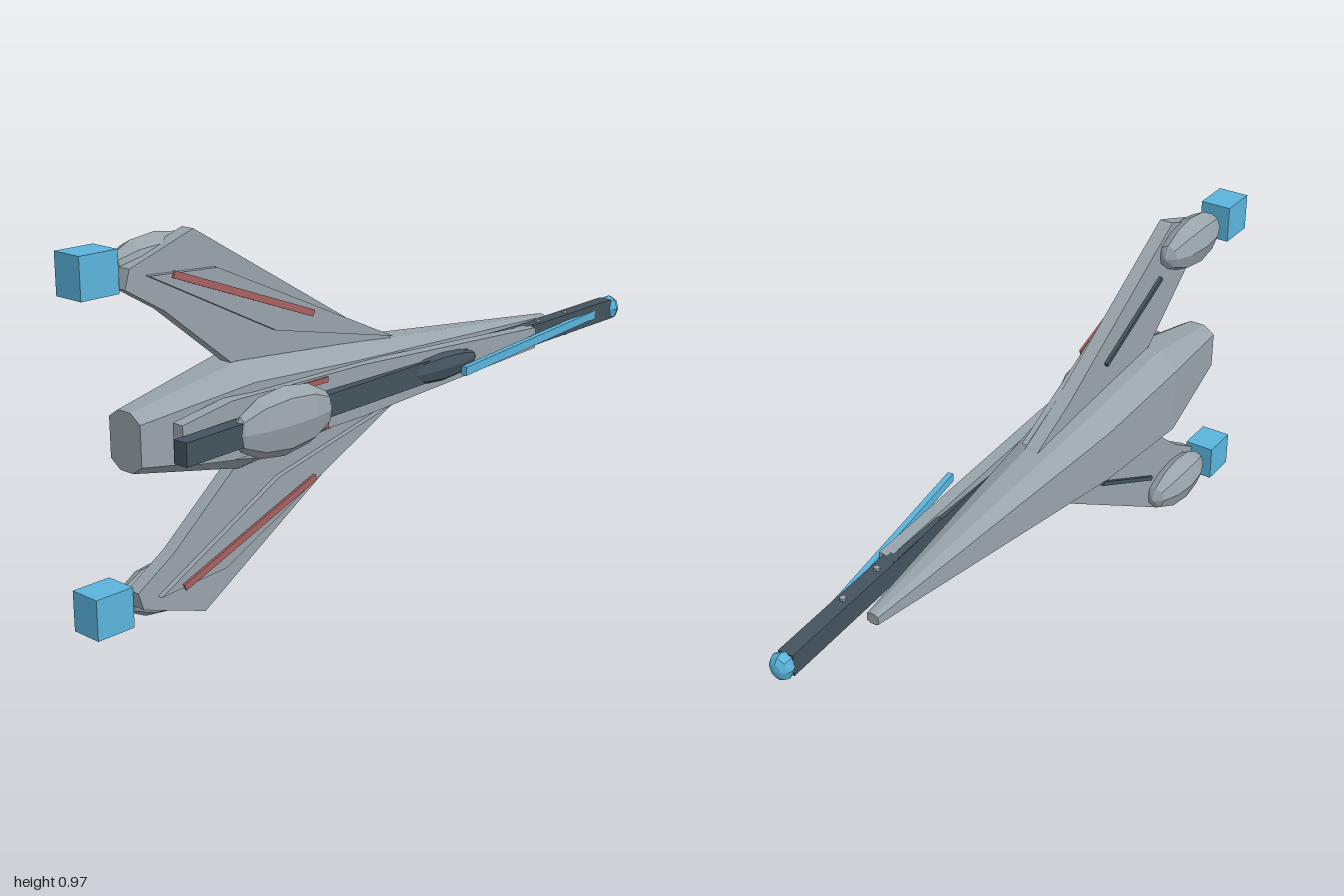
import * as THREE from 'three';

const mat = (name, color) => {
  const m = new THREE.MeshStandardMaterial({ color, flatShading: true });
  m.name = name;
  return m;
};

export function createModel() {
  const grey = mat('hull grey', 0x98a3aa);
  const dark = mat('dark slate', 0x43535d);
  const blue = mat('blue', 0x5ab4dc);
  const red = mat('dull red', 0xa86060);

  const root = new THREE.Group();
  root.name = 'starfighter';

  const add = (parent, name, geometry, material, x = 0, y = 0, z = 0) => {
    const mesh = new THREE.Mesh(geometry, material);
    mesh.name = name;
    mesh.position.set(x, y, z);
    parent.add(mesh);
    return mesh;
  };

  // Bar of given height (y) and depth (z) running between two points
  const bar = (parent, name, material, from, to, h, d) => {
    const a = new THREE.Vector3(...from), b = new THREE.Vector3(...to);
    const mesh = add(parent, name, new THREE.BoxGeometry(a.distanceTo(b), h, d), material);
    mesh.position.copy(a).add(b).multiplyScalar(0.5);
    mesh.quaternion.setFromUnitVectors(new THREE.Vector3(1, 0, 0), b.sub(a).normalize());
    return mesh;
  };

  // Faceted ellipsoid with its poles along x
  const pod = (parent, name, material, center, radii, sides = 8, rows = 6) => {
    const g = new THREE.SphereGeometry(1, sides, rows).rotateZ(-Math.PI / 2).scale(...radii);
    return add(parent, name, g, material, ...center);
  };

  // Flat slab cut from an outline in x and y
  const slab = (parent, name, material, outline, z, depth) => {
    const shape = new THREE.Shape(outline.map(p => new THREE.Vector2(...p)));
    const g = new THREE.ExtrudeGeometry(shape, { depth, bevelEnabled: false });
    return add(parent, name, g, material, 0, 0, z);
  };

  // Eight-sided body lofted along x: [x, half height, half depth]
  const loft = (sections) => {
    const unit = [[1, -0.4], [1, 0.4], [0.7, 1], [-0.7, 1], [-1, 0.4], [-1, -0.4], [-0.7, -1], [0.7, -1]];
    const rings = sections.map(([x, h, d]) => unit.map(([u, v]) => [x, u * h, v * d]));
    const pos = [];
    const last = rings.length - 1;
    for (let j = 0; j < 8; j++) {
      const k = (j + 1) % 8;
      for (let i = 0; i < last; i++) {
        const [a, b, c, d] = [rings[i][j], rings[i][k], rings[i + 1][k], rings[i + 1][j]];
        pos.push(...a, ...b, ...c, ...a, ...c, ...d);
      }
      pos.push(sections[0][0], 0, 0, ...rings[0][k], ...rings[0][j]);
      pos.push(sections[last][0], 0, 0, ...rings[last][j], ...rings[last][k]);
    }
    const g = new THREE.BufferGeometry();
    g.setAttribute('position', new THREE.Float32BufferAttribute(pos, 3));
    g.computeVertexNormals();
    return g;
  };

  // Fuselage and the raised deck on its face
  add(root, 'fuselage', loft([
    [-0.88, 0.075, 0.057], [-0.56, 0.138, 0.106], [-0.2, 0.108, 0.102], [0.72, 0.015, 0.017],
  ]), grey, 0, 0, -0.056);
  const deckHalf = [[-0.81, 0.05], [-0.65, 0.075], [-0.2, 0.07], [0.53, 0.03]];
  const deck = [...deckHalf.map(([x, y]) => [x, -y]), ...deckHalf.reverse()];
  slab(root, 'deck', grey, deck, 0.035, 0.035);

  // Long spine beam, canopy, front sensor and probe
  bar(root, 'spineBeam', dark, [-0.85, 0, 0.106], [0.96, 0, 0.01], 0.06, 0.042);
  pod(root, 'canopy', grey, [-0.515, 0, 0.103], [0.168, 0.09, 0.043]);
  pod(root, 'sensorBlister', dark, [0.115, 0, 0.066], [0.15, 0.042, 0.028]);
  pod(root, 'noseLens', blue, [0.973, 0, 0.012], [0.027, 0.038, 0.033]);
  bar(root, 'probe', blue, [0.12, 0, 0.145], [0.97, 0, 0.012], 0.024, 0.016);

  // Cross pins through the beam
  for (const [x, z] of [[0.59, 0.03], [0.73, 0.024]]) {
    add(root, 'crossPin', new THREE.CylinderGeometry(0.009, 0.009, 0.075, 6), grey, x, 0, z);
  }

  // Everything paired across the centre plane
  for (const side of [1, -1]) {
    const half = new THREE.Group();
    half.name = side > 0 ? 'upperSide' : 'lowerSide';
    half.scale.y = side;
    root.add(half);

    slab(half, 'wing', grey, [
      [-0.57, 0.05], [0.1, 0.02], [0, 0.092], [-0.15, 0.165], [-0.68, 0.486],
      [-0.875, 0.42], [-0.89, 0.373], [-0.775, 0.303], [-0.57, 0.135],
    ], -0.06, 0.04);
    slab(half, 'wingPanel', grey, [
      [-0.83, 0.398], [-0.43, 0.193], [0, 0.095], [-0.62, 0.385],
    ], -0.021, 0.016);
    bar(half, 'wingStripe', red, [-0.76, 0.392, -0.002], [-0.315, 0.219, 0.009], 0.018, 0.007);
    bar(half, 'wingBackStrip', dark, [-0.62, 0.34, -0.064], [-0.33, 0.197, -0.064], 0.012, 0.012);
    bar(half, 'deckStripe', red, [-0.42, 0.06, 0.071], [-0.33, 0.06, 0.071], 0.014, 0.008);
    bar(half, 'noseStrip', dark, [0.33, 0.028, 0.036], [0.68, 0.022, 0.024], 0.012, 0.03);

    // Engine pod and exhaust block at the wing tip
    pod(half, 'enginePod', grey, [-0.748, 0.409, -0.082], [0.145, 0.072, 0.059]);
    add(half, 'exhaust', new THREE.BoxGeometry(0.11, 0.105, 0.09), blue, -0.945, 0.414, -0.085);
  }

  root.position.y = 0.486;
  const model = new THREE.Group();
  model.name = 'model';
  model.add(root);
  return model;
}
